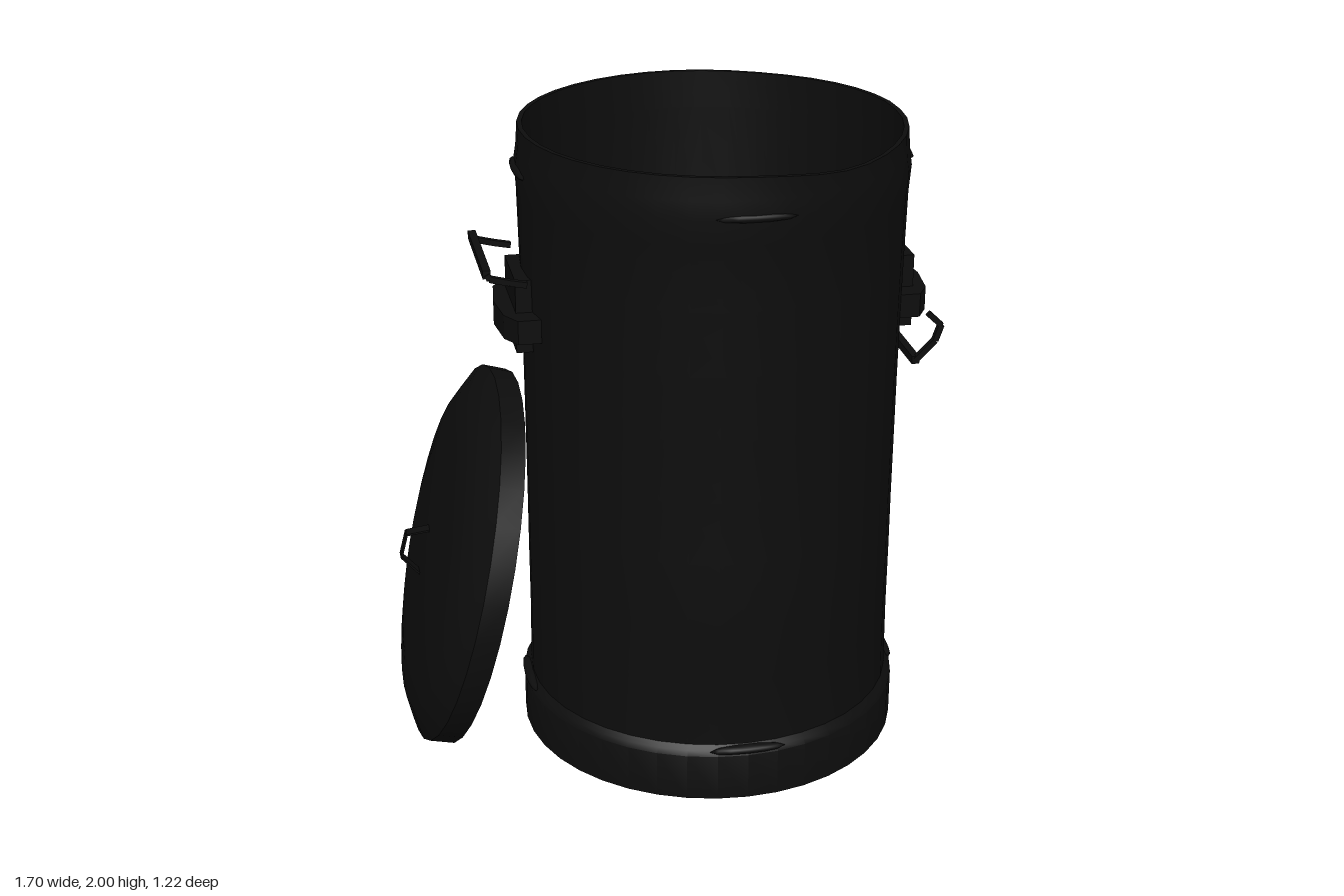
import * as THREE from 'three';
import { toCreasedNormals } from 'three/addons/utils/BufferGeometryUtils.js';

const CX = 0.145; // axis of the can
const black = new THREE.MeshStandardMaterial({ color: 0x0d0d0d, side: THREE.DoubleSide });
black.name = 'blackMetal';

function mesh(name, geometry, parent) {
  const m = new THREE.Mesh(geometry, black);
  m.name = name;
  parent.add(m);
  return m;
}

function lathe(points, segments) {
  return new THREE.LatheGeometry(points.map(([r, y]) => new THREE.Vector2(r, y)), segments);
}

const bump = (v, centre, width) => Math.exp(-(((v - centre) / width) ** 2));

// Flat bar between two points of the xy plane, with a given depth along z
function bar(name, a, b, thick, depth, z, parent) {
  const dx = b[0] - a[0], dy = b[1] - a[1];
  const m = mesh(name, new THREE.BoxGeometry(Math.hypot(dx, dy), thick, depth), parent);
  m.position.set((a[0] + b[0]) / 2, (a[1] + b[1]) / 2, z);
  m.rotation.z = Math.atan2(dy, dx);
}

// Battered open can: outer wall, rim, inner wall and floor in one profile
function makeCan() {
  const g = lathe([
    [0, 0], [0.605, 0], [0.605, 0.15], [0.595, 0.165], [0.582, 0.18], [0.58, 0.4], [0.581, 0.6],
    [0.581, 0.8], [0.582, 1.0], [0.583, 1.2], [0.585, 1.4], [0.588, 1.6], [0.592, 1.8], [0.598, 1.88],
    [0.59, 1.93], [0.585, 2], [0.57, 2], [0.568, 1.88], [0.565, 1.5], [0.562, 1.1],
    [0.562, 0.7], [0.565, 0.3], [0.57, 0.03], [0, 0.03],
  ], 40);
  const p = g.attributes.position;
  for (let i = 0; i < p.count; i++) {
    let x = p.getX(i), y = p.getY(i), z = p.getZ(i);
    const r = Math.hypot(x, z);
    if (r > 0.3 && y > 0.2) {
      const back = Math.max(0, -z / r), front = Math.max(0, z / r);
      const k = 1 - 0.06 * back ** 2 * bump(y, 1.12, 0.35)
        + 0.025 * front ** 6 * bump(y, 0.65, 0.15)
        + 0.02 * front ** 2 * bump(y, 2, 0.15);
      x *= k;
      z *= k;
    }
    // Uneven rim
    if (y > 1.95) y -= 0.02 * bump(x, 0.3, 0.2) * (0.6 + 0.4 * Math.sign(z));
    p.setXYZ(i, x, y, z);
  }
  return toCreasedNormals(g, 0.6);
}

// Side handle facing +x from the can wall; bail lists the arm points
function makeHandle(name, wallX, bail) {
  const h = new THREE.Group();
  h.name = name;
  const plate = mesh('handlePlate', new THREE.BoxGeometry(0.05, 0.23, 0.24), h);
  plate.position.set(wallX + 0.002, 1.455, 0);

  const s = new THREE.Shape();
  s.moveTo(-0.04, -0.19);
  s.lineTo(0.03, -0.19);
  s.lineTo(0.065, -0.13);
  s.lineTo(0.08, 0);
  s.lineTo(0.065, 0.13);
  s.lineTo(0.03, 0.19);
  s.lineTo(-0.04, 0.19);
  const boss = mesh('handleBracket', new THREE.ExtrudeGeometry(s, { depth: 0.075, bevelEnabled: false }), h);
  boss.rotation.x = Math.PI / 2;
  boss.position.set(wallX, 1.468, 0);

  for (const z of [-0.185, 0.185])
    for (let i = 1; i < bail.length; i++) bar('bailArm', bail[i - 1], bail[i], 0.018, 0.018, z, h);
  const end = bail[bail.length - 1];
  bar('bailGrip', [end[0] - 0.012, end[1]], [end[0] + 0.012, end[1]], 0.025, 0.38, 0, h);
  return h;
}

// Domed lid, built flat with its outside towards +y
function makeLid() {
  const lid = new THREE.Group();
  lid.name = 'lid';
  const g = lathe([
    [0.578, 0.06], [0.578, 0], [0.598, 0], [0.6, 0.075], [0.565, 0.095], [0.5, 0.13],
    [0.38, 0.152], [0.2, 0.165], [0, 0.17],
  ], 32);
  mesh('lidTop', toCreasedNormals(g, 0.7), lid);
  const under = lathe([[0, 0.15], [0.2, 0.146], [0.4, 0.125], [0.53, 0.085], [0.578, 0.06]], 32);
  mesh('lidUnderside', under, lid);
  const path = [[-0.09, 0.16], [-0.04, 0.235], [0.04, 0.235], [0.07, 0.16]];
  for (let i = 1; i < path.length; i++) bar('lidHandle', path[i - 1], path[i], 0.006, 0.04, 0, lid);
  return lid;
}

export function createModel() {
  const model = new THREE.Group();
  model.name = 'trashCan';

  mesh('can', makeCan(), model).position.x = CX;

  // Shallow pressed lugs around the upper and lower seams
  for (const [y, r] of [[1.88, 0.59], [0.165, 0.59]]) {
    for (let i = 0; i < 4; i++) {
      const a = (i * Math.PI) / 2;
      const lug = mesh('seamLug', new THREE.SphereGeometry(1, 12, 6), model);
      lug.scale.set(0.12, 0.014, 0.02);
      lug.rotation.y = a;
      lug.position.set(CX + r * Math.sin(a), y, r * Math.cos(a));
    }
  }

  // Left handle hangs down, right handle is raised
  model.add(makeHandle('leftHandle', 0.73, [[0.79, 1.4], [0.832, 1.36], [0.815, 1.31], [0.755, 1.25]]));
  const right = makeHandle('rightHandle', 0.45, [[0.45, 1.58], [0.5, 1.59], [0.56, 1.605], [0.568, 1.62]]);
  right.rotation.y = Math.PI;
  model.add(right);

  // Lid leaning against the side
  const lid = makeLid();
  lid.position.set(-0.61, 0.615, 0);
  lid.rotation.z = 1.318;
  model.add(lid);

  return model;
}
